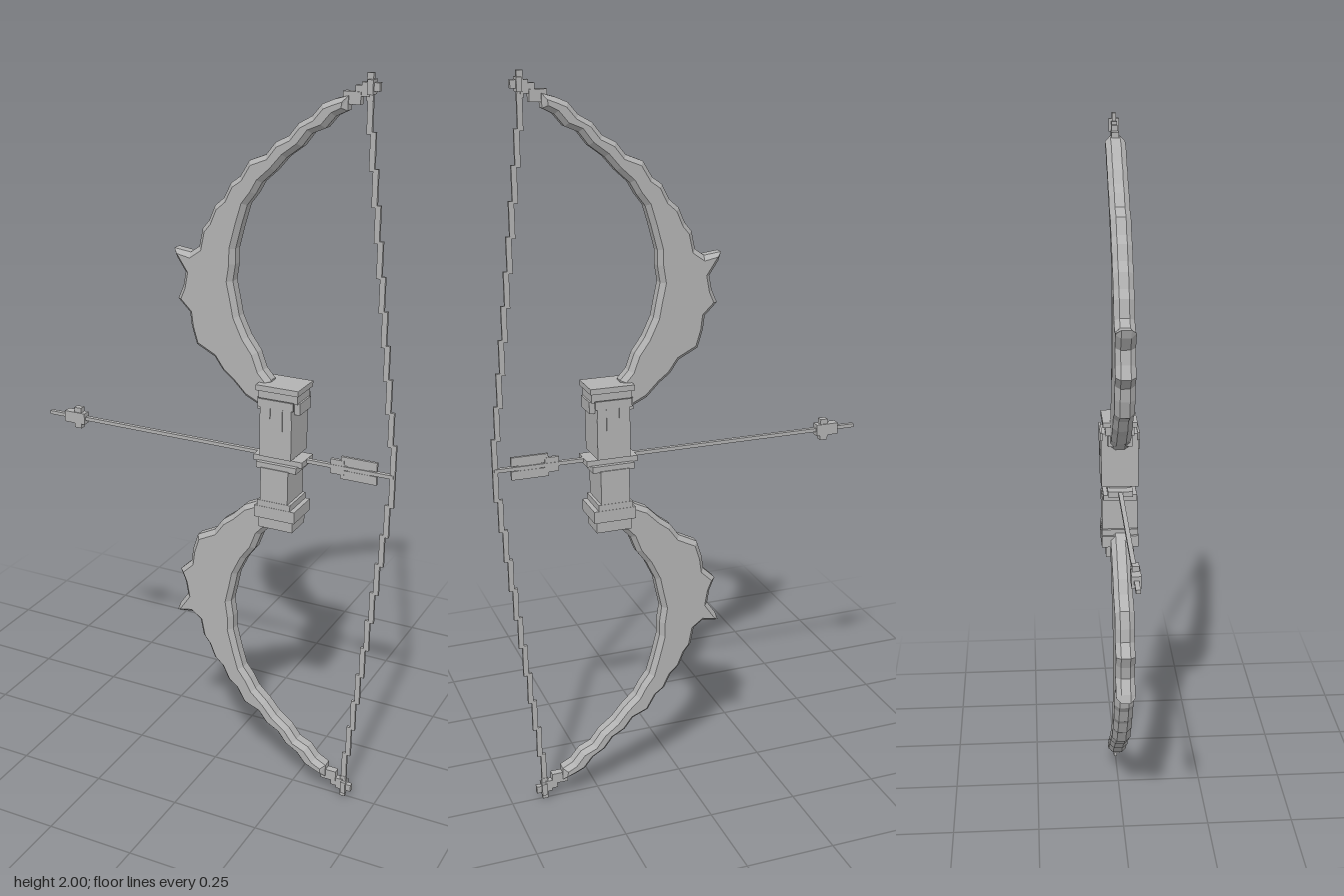
import * as THREE from 'three';

const MID = 1; // height of the arrow; the bow mirrors above and below it

export function createModel() {
  const model = new THREE.Group();
  model.name = 'bowAndArrow';
  const grey = new THREE.MeshStandardMaterial({ color: 0xb2b2b2 });
  grey.name = 'plainGrey';
  grey.flatShading = true;

  // Box given by its x and y ranges and its half depth
  const box = (parent, name, x0, x1, y0, y1, halfZ) => {
    const mesh = new THREE.Mesh(new THREE.BoxGeometry(x1 - x0, y1 - y0, halfZ * 2), grey);
    mesh.position.set((x0 + x1) / 2, (y0 + y1) / 2, 0);
    mesh.name = name;
    parent.add(mesh);
    return mesh;
  };
  const group = (name) => {
    const g = new THREE.Group();
    g.name = name;
    model.add(g);
    return g;
  };

  // Carved limb outline, from the tip down the outer edge and back up the inner edge
  const outline = [
    [0.355, 1.945], [0.32, 1.935], [0.29, 1.922], [0.265, 1.892], [0.23, 1.872],
    [0.205, 1.84], [0.17, 1.822], [0.145, 1.79], [0.1, 1.772], [0.075, 1.73], [0.05, 1.712],
    [0.03, 1.672], [0.005, 1.65], [-0.012, 1.61], [-0.03, 1.588], [-0.04, 1.54],
    [-0.065, 1.522], [-0.113, 1.528], [-0.105, 1.505], [-0.08, 1.468], [-0.087, 1.43],
    [-0.102, 1.395], [-0.068, 1.362], [-0.063, 1.325], [-0.048, 1.277], [0.005, 1.25],
    [0.03, 1.215], [0.06, 1.192], [0.095, 1.157], [0.13, 1.14], [0.16, 1.118],
    [0.168, 1.21], [0.145, 1.235], [0.128, 1.28], [0.1, 1.318], [0.075, 1.37],
    [0.067, 1.41], [0.056, 1.46], [0.063, 1.505], [0.063, 1.545], [0.08, 1.61],
    [0.095, 1.66], [0.118, 1.69], [0.135, 1.72], [0.17, 1.752], [0.2, 1.787], [0.24, 1.817],
    [0.265, 1.85], [0.3, 1.865], [0.325, 1.895], [0.355, 1.91],
  ];

  for (const side of [1, -1]) {
    const label = side > 0 ? 'upper' : 'lower';
    const flip = (y) => MID + side * (y - MID);
    const part = (parent, name, x0, x1, y0, y1, z) =>
      box(parent, name, x0, x1, Math.min(flip(y0), flip(y1)), Math.max(flip(y0), flip(y1)), z);

    // Limb with chamfered rims
    const shape = new THREE.Shape(outline.map(([x, y]) => new THREE.Vector2(x, flip(y))));
    const geometry = new THREE.ExtrudeGeometry(shape, {
      depth: 0.026, bevelEnabled: true, bevelSegments: 1,
      bevelThickness: 0.014, bevelSize: 0.012, bevelOffset: -0.012,
    });
    geometry.translate(0, 0, -0.013);
    const limb = new THREE.Mesh(geometry, grey);
    limb.name = label + 'Limb';
    model.add(limb);

    // Cross-shaped nock at the limb tip
    const nock = group(label + 'Nock');
    part(nock, 'nockNeck', 0.34, 0.385, 1.925, 1.955, 0.01);
    part(nock, 'nockStep', 0.37, 0.405, 1.945, 1.97, 0.008);
    part(nock, 'nockBar', 0.385, 0.43, 1.958, 1.978, 0.007);
    part(nock, 'nockPost', 0.397, 0.413, 1.935, 2, 0.005);
    part(nock, 'nockCollar', 0.402, 0.416, 1.95, 1.985, 0.014);

    // Stepped string, bending out towards the arrow
    const string = group(label + 'String');
    const steps = 11;
    for (let i = 0; i < steps; i++) {
      const x = 0.407 + (0.507 - 0.407) * i / (steps - 1);
      const top = 1.95 - i * 0.95 / steps;
      part(string, 'stringStep', x - 0.007, x + 0.007, top - 0.95 / steps - 0.006, top, 0.004);
    }
  }

  // Grip: two blocks with collars between and at the ends
  const grip = group('grip');
  box(grip, 'upperBlock', 0.155, 0.245, 1.012, 1.168, 0.052);
  box(grip, 'upperCore', 0.162, 0.238, 0.99, 1.2, 0.03);
  box(grip, 'topCap', 0.14, 0.26, 1.19, 1.205, 0.048);
  box(grip, 'topCollar', 0.145, 0.255, 1.165, 1.192, 0.04);
  box(grip, 'topFlange', 0.14, 0.26, 1.135, 1.167, 0.034);
  box(grip, 'middleCollar', 0.13, 0.27, 0.99, 1.006, 0.035);
  box(grip, 'middleBand', 0.143, 0.258, 0.975, 0.992, 0.047);
  box(grip, 'lowerBlock', 0.158, 0.237, 0.84, 0.978, 0.05);
  box(grip, 'lowerFlange', 0.142, 0.258, 0.835, 0.868, 0.052);
  box(grip, 'lowerLip', 0.15, 0.245, 0.865, 0.885, 0.051);
  box(grip, 'bottomCap', 0.15, 0.248, 0.802, 0.837, 0.04);

  // Stepped carving on both faces of the upper block
  for (const z of [0.052, -0.052]) {
    for (const [x0, x1, y0, y1] of [
      [0.15, 0.25, 1.15, 1.172], [0.16, 0.185, 1.12, 1.15],
      [0.195, 0.22, 1.09, 1.15], [0.225, 0.245, 1.125, 1.15],
    ]) box(grip, 'carvedStep', x0, x1, y0, y1, 0.003).position.z = z;
  }

  // Arrow: shaft, stepped head and crossed fletching
  const arrow = group('arrow');
  box(arrow, 'shaft', -0.525, 0.51, 0.995, 1.005, 0.006);
  box(arrow, 'headBase', -0.472, -0.408, 0.984, 1.016, 0.012);
  box(arrow, 'headBarb', -0.442, -0.42, 0.97, 1.03, 0.009);
  box(arrow, 'fletchingFront', 0.337, 0.375, 0.98, 1.02, 0.005);
  for (const side of [1, -1]) {
    const y = MID + side * 0.019;
    box(arrow, 'fletchingVane', 0.365, 0.465, y - 0.012, y + 0.012, 0.004);
    box(arrow, 'fletchingInner', 0.385, 0.445, MID + side * 0.007 - 0.008, MID + side * 0.007 + 0.008, 0.003);
  }
  return model;
}
